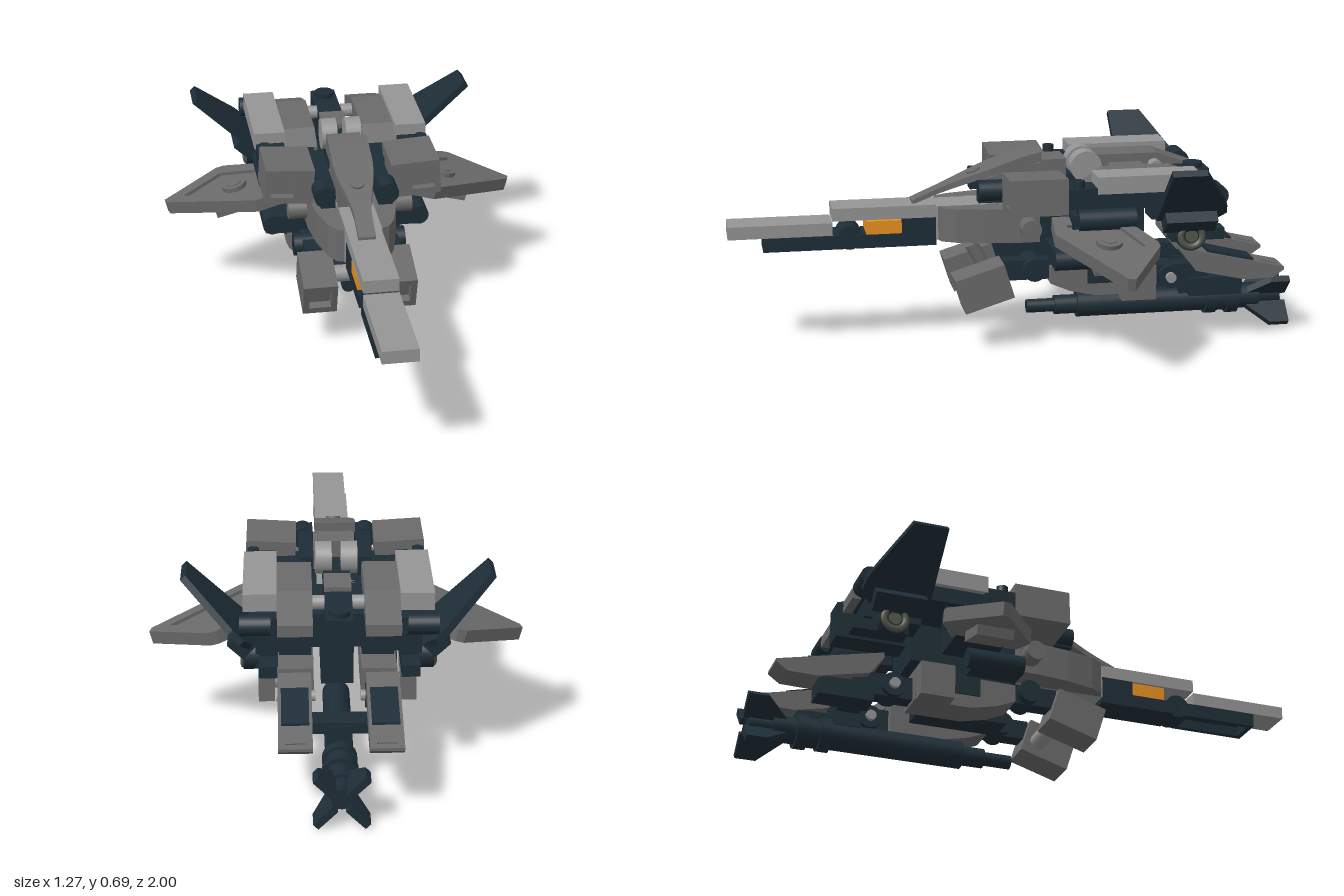
import * as THREE from 'three';
import { mergeGeometries } from 'three/addons/utils/BufferGeometryUtils.js';

const material = (color) => new THREE.MeshStandardMaterial({ color, side: THREE.DoubleSide });
const GREY = material(0x6a6a6a), LIGHT = material(0x959595), DARK = material(0x1e2d37);
const ORANGE = material(0xe89020), BRONZE = material(0x55584c);

// Box given by its limits on each axis
function box(x0, x1, y0, y1, z0, z1) {
  return new THREE.BoxGeometry(x1 - x0, y1 - y0, z1 - z0)
    .translate((x0 + x1) / 2, (y0 + y1) / 2, (z0 + z1) / 2);
}
// Cylinder along an axis, centred on a point
function cyl(axis, r, length, x, y, z) {
  const g = new THREE.CylinderGeometry(r, r, length, 24);
  if (axis === 'x') g.rotateZ(-Math.PI / 2);
  if (axis === 'z') g.rotateX(Math.PI / 2);
  return g.translate(x, y, z);
}
function extrude(points, depth, hole) {
  const shape = new THREE.Shape(points.map(([a, b]) => new THREE.Vector2(a, b)));
  if (hole) shape.holes.push(new THREE.Path(hole.map(([a, b]) => new THREE.Vector2(a, b))));
  return new THREE.ExtrudeGeometry(shape, { depth, bevelEnabled: false });
}
// Side outline of [z, y] points, spanning x0 to x1
const side = (pts, x0, x1) => extrude(pts, x1 - x0).rotateY(-Math.PI / 2).translate(x1, 0, 0);
// Plan outline of [x, z] points, spanning y0 to y1
const plan = (pts, y0, y1, hole) => extrude(pts.map(([x, z]) => [x, -z]), y1 - y0,
  hole && hole.map(([x, z]) => [x, -z])).rotateX(-Math.PI / 2).translate(0, y0, 0);
const merge = (...list) => mergeGeometries(list.map((g) => (g.index ? g.toNonIndexed() : g)));
const rect = (w, h, x = 0) => [[x - w, -h], [x + w, -h], [x + w, h], [x - w, h]];

// Centred box whose front has a square recess
function recessedBox(w, h, d, hx = 0) {
  const m = Math.min(w, h) * 0.32, deep = 0.03;
  return merge(
    extrude(rect(w / 2, h / 2), deep, rect(m, m, hx)).translate(0, 0, d / 2 - deep),
    new THREE.BoxGeometry(w, h, d - deep).translate(0, 0, -deep / 2));
}
// Copy reflected in x, with the corner order turned back
function mirrored(geometry) {
  const g = (geometry.index ? geometry.toNonIndexed() : geometry.clone()).scale(-1, 1, 1);
  for (const a of Object.values(g.attributes)) {
    const n = a.itemSize;
    for (let i = 0; i < a.count; i += 3) for (let k = 0; k < n; k++) {
      const p = (i + 1) * n + k, q = (i + 2) * n + k;
      [a.array[p], a.array[q]] = [a.array[q], a.array[p]];
    }
  }
  return g;
}

export function createModel() {
  const model = new THREE.Group();
  model.name = 'aircraft';
  const add = (name, geometry, mat) => {
    const mesh = new THREE.Mesh(geometry, mat);
    mesh.name = name;
    model.add(mesh);
  };
  const pair = (name, geometry, mat) => {
    add(name + 'Left', geometry, mat);
    add(name + 'Right', mirrored(geometry), mat);
  };

  // Long nose blade, hollow under the front keel
  add('noseTip', box(-0.06, 0.06, 0.41, 0.455, 0.64, 1), LIGHT);
  add('noseTop', box(-0.06, 0.06, 0.46, 0.505, 0.28, 0.64), LIGHT);
  add('noseBand', box(-0.06, 0.06, 0.408, 0.455, 0.4, 0.523), ORANGE);
  add('noseRoot', box(-0.06, 0.06, 0.36, 0.46, 0.28, 0.4), DARK);
  add('noseKeelRear', box(-0.06, 0.06, 0.36, 0.407, 0.4, 0.56), DARK);
  add('noseKeelFront', merge(
    plan(rect(0.06, 0.14), 0.36, 0.395, rect(0.042, 0.122)).translate(0, 0, 0.74),
    box(-0.06, 0.06, 0.395, 0.409, 0.6, 0.88)), DARK);
  add('noseHinge', cyl('x', 0.043, 0.1, 0, 0.397, 0.58), DARK);

  // Fuselage with rounded cheeks
  add('fuselage', box(-0.065, 0.065, 0.38, 0.5, -0.2, 0.28), LIGHT);
  pair('cheek', plan([[0.06, 0.275], [0.09, 0.265], [0.115, 0.22], [0.14, 0.12], [0.155, 0],
    [0.155, -0.07], [0.06, -0.07]], 0.38, 0.5), GREY);
  add('core', box(-0.11, 0.11, 0.38, 0.5, -0.45, -0.07), DARK);
  add('belly', box(-0.055, 0.055, 0.22, 0.38, -0.4, -0.08), DARK);
  add('bellyPost', cyl('y', 0.024, 0.12, 0, 0, 0).rotateX(0.5).translate(0, 0.29, 0.12), GREY);
  add('hipAxle', cyl('x', 0.03, 0.17, 0, 0.235, 0.09), LIGHT);

  // Canopy: wide at the back, narrowing to a strip as it slopes to the front
  const canopy = new THREE.BoxGeometry(1, 1, 1, 1, 1, 10);
  const cp = canopy.attributes.position;
  for (let i = 0; i < cp.count; i++) {
    const t = cp.getZ(i) + 0.5;
    const top = 0.68 - 0.165 * Math.pow(t, 1.2);
    const width = 0.14 - 0.08 * THREE.MathUtils.smoothstep(t, 0.3, 0.82);
    cp.setXYZ(i, cp.getX(i) * width, top - (0.5 - cp.getY(i)) * (0.035 - 0.02 * t), -0.09 + t * 0.45);
  }
  const flatCanopy = canopy.toNonIndexed();
  flatCanopy.computeVertexNormals();
  add('canopy', flatCanopy, GREY);
  add('canopyStud', cyl('y', 0.025, 0.012, 0, 0, 0).rotateX(0.37).translate(0, 0.607, 0.14), GREY);
  add('canopyBase', side([[0.1, 0.5], [0.1, 0.59], [-0.02, 0.63], [-0.1, 0.64], [-0.1, 0.5]], -0.06, 0.06), GREY);
  pair('canopyStrut', box(0.075, 0.125, 0.52, 0.59, -0.18, 0.14), DARK);
  pair('canopyJoint', cyl('z', 0.037, 0.08, 0.11, 0.56, 0.1), DARK);

  // Spine and its light rollers
  add('spine', box(-0.045, 0.045, 0.46, 0.59, -0.7, -0.15), DARK);
  add('spineTop', box(-0.06, 0.06, 0.58, 0.65, -0.18, -0.09), GREY);
  add('spinePlate', box(-0.045, 0.045, 0.59, 0.605, -0.47, -0.35), GREY);
  pair('roller', cyl('x', 0.055, 0.055, 0.043, 0.62, -0.25), LIGHT);
  pair('rearRoller', cyl('x', 0.024, 0.04, 0.065, 0.58, -0.53), LIGHT);
  add('spineStud', cyl('y', 0.035, 0.025, 0, 0.595, -0.65), DARK);

  // Shoulder pods, light covers and sloped inner covers
  pair('shoulderPod', recessedBox(0.17, 0.125, 0.2, 0.025).rotateZ(0.06).translate(0.222, 0.57, -0.04), GREY);
  pair('podRear', box(0.205, 0.305, 0.53, 0.6, -0.25, -0.13), DARK);
  pair('podStud', cyl('y', 0.02, 0.03, 0.28, 0.61, -0.18), DARK);
  pair('upperCover', box(0.2, 0.31, 0.58, 0.64, -0.6, -0.24), LIGHT);
  pair('innerCover', side([[-0.23, 0.55], [-0.23, 0.58], [-0.3, 0.625], [-0.54, 0.625], [-0.69, 0.57],
    [-0.69, 0.53]], 0.085, 0.2), GREY);
  pair('arm', box(0.1, 0.29, 0.525, 0.58, -0.66, -0.1), DARK);
  pair('armLower', box(0.12, 0.22, 0.46, 0.525, -0.65, -0.45), DARK);

  // Tail fins with round thrusters
  pair('tailFin', plan([[0, -0.66], [0.04, -0.69], [0.09, -0.68], [0.3, -0.57], [0.3, -0.45], [0, -0.45]], 0, 0.024)
    .rotateZ(0.76).translate(0.292, 0.473, 0), DARK);
  pair('finBase', new THREE.BoxGeometry(0.07, 0.06, 0.18).rotateZ(0.76).translate(0.315, 0.48, -0.56), DARK);
  pair('finHinge', cyl('x', 0.035, 0.1, 0.27, 0.56, -0.66), DARK);
  pair('thrusterBlock', box(0.2, 0.27, 0.39, 0.525, -0.62, -0.51), DARK);
  pair('thrusterTail', box(0.2, 0.26, 0.39, 0.43, -0.7, -0.61), DARK);
  pair('thruster', cyl('x', 0.053, 0.05, 0.285, 0.42, -0.57), DARK);
  pair('thrusterRing', new THREE.TorusGeometry(0.038, 0.012, 8, 24).rotateY(Math.PI / 2)
    .translate(0.308, 0.42, -0.57), BRONZE);
  pair('thrusterCore', cyl('x', 0.022, 0.02, 0.305, 0.42, -0.57), BRONZE);

  // Drooping side wings with raised rims
  const wing = [[0, -0.1], [0.12, -0.09], [0.43, -0.275], [0.437, -0.3], [0.23, -0.43], [0.2, -0.43], [0, -0.33]];
  const inset = [[0.06, -0.14], [0.12, -0.14], [0.365, -0.288], [0.22, -0.38], [0.06, -0.31]];
  const onWing = (g) => g.rotateZ(-0.25).translate(0.2, 0.437, 0);
  pair('wing', onWing(plan(wing, 0, 0.035)), GREY);
  pair('wingRim', onWing(plan(wing, 0.035, 0.047, inset)), GREY);
  pair('wingDisc', onWing(cyl('y', 0.045, 0.016, 0.18, 0.043, -0.265)), GREY);
  pair('wingDiscCentre', onWing(cyl('y', 0.027, 0.022, 0.18, 0.043, -0.265)), GREY);
  pair('wingUnderBlock', onWing(box(0.14, 0.27, -0.035, 0, -0.33, -0.2)), GREY);
  pair('wingHinge', cyl('z', 0.04, 0.2, 0.265, 0.48, -0.28), DARK);
  pair('wingArm', box(0.1, 0.28, 0.42, 0.5, -0.34, -0.16), DARK);
  pair('wingAxle', cyl('x', 0.035, 0.1, 0.17, 0.44, -0.03), GREY);

  // Cross arms under the fuselage
  pair('crossArm', box(0.05, 0.26, 0.31, 0.375, -0.28, -0.1), DARK);
  pair('crossArmEnd', cyl('z', 0.035, 0.2, 0.265, 0.342, -0.2), DARK);

  // Forward leg blocks
  pair('legBlock', recessedBox(0.12, 0.125, 0.18).rotateX(0.3).translate(0.14, 0.23, 0.13), GREY);
  pair('legJoint', cyl('x', 0.04, 0.12, 0.14, 0.29, -0.045), DARK);
  pair('legLink', box(0.11, 0.17, 0.25, 0.32, -0.15, 0.06), DARK);
  pair('legHull', side([[-0.1, 0.3], [-0.1, 0.24], [-0.17, 0.21], [-0.26, 0.19], [-0.46, 0.19],
    [-0.46, 0.305]], 0.08, 0.2), GREY);
  pair('legTop', box(0.085, 0.195, 0.3, 0.36, -0.35, -0.11), DARK);
  pair('legSideBlock', box(0.21, 0.265, 0.185, 0.305, -0.46, -0.34), GREY);
  pair('legSidePin', cyl('x', 0.035, 0.04, 0.205, 0.245, -0.4), LIGHT);
  pair('legSidePlate', box(0.195, 0.205, 0.235, 0.3, -0.35, -0.23), DARK);

  // Rear feet
  pair('ankle', cyl('x', 0.042, 0.1, 0.14, 0.24, -0.53), DARK);
  pair('anklePin', cyl('x', 0.018, 0.13, 0.14, 0.24, -0.53), LIGHT);
  pair('ankleLink', box(0.11, 0.17, 0.2, 0.28, -0.67, -0.45), DARK);
  pair('footShell', side([[-0.57, 0.345], [-0.57, 0.325], [-0.62, 0.26], [-0.8, 0.22], [-0.9, 0.222],
    [-0.94, 0.25], [-0.94, 0.26]], 0.09, 0.2), GREY);
  pair('footDeck', side([[-0.66, 0.32], [-0.66, 0.335], [-0.83, 0.293], [-0.83, 0.278]], 0.1, 0.19), DARK);
  pair('footPanel', box(0.112, 0.178, -0.003, 0.003, -0.035, 0.035).rotateX(-0.226)
    .translate(0, 0.274, -0.885), GREY);
  pair('footSole', box(0.1, 0.19, 0.165, 0.23, -0.79, -0.6), DARK);

  // Slung cannon: each section is radius, front z, rear z
  const cannon = [[0.024, -0.05, -0.15], [0.034, -0.15, -0.23], [0.047, -0.23, -0.7], [0.058, -0.7, -0.74],
    [0.05, -0.74, -0.78], [0.06, -0.78, -0.82], [0.046, -0.82, -0.9], [0.035, -0.9, -0.98]];
  cannon.forEach(([r, a, b], i) => add('cannonSection' + (i + 1), cyl('z', r, a - b, 0, 0.1, (a + b) / 2), DARK));
  add('cannonMount', box(-0.04, 0.04, 0.13, 0.21, -0.7, -0.6), DARK);
  add('cannonMountBar', box(-0.1, 0.1, 0.18, 0.22, -0.69, -0.61), DARK);
  for (let i = 0; i < 4; i++) {
    const fin = side([[-0.84, 0.03], [-0.86, 0.05], [-0.93, 0.118], [-1, 0.118], [-1, 0.03]], -0.012, 0.012);
    add('cannonFin', fin.rotateZ(Math.PI / 4 + i * Math.PI / 2).translate(0, 0.096, 0), DARK);
  }
  return model;
}
